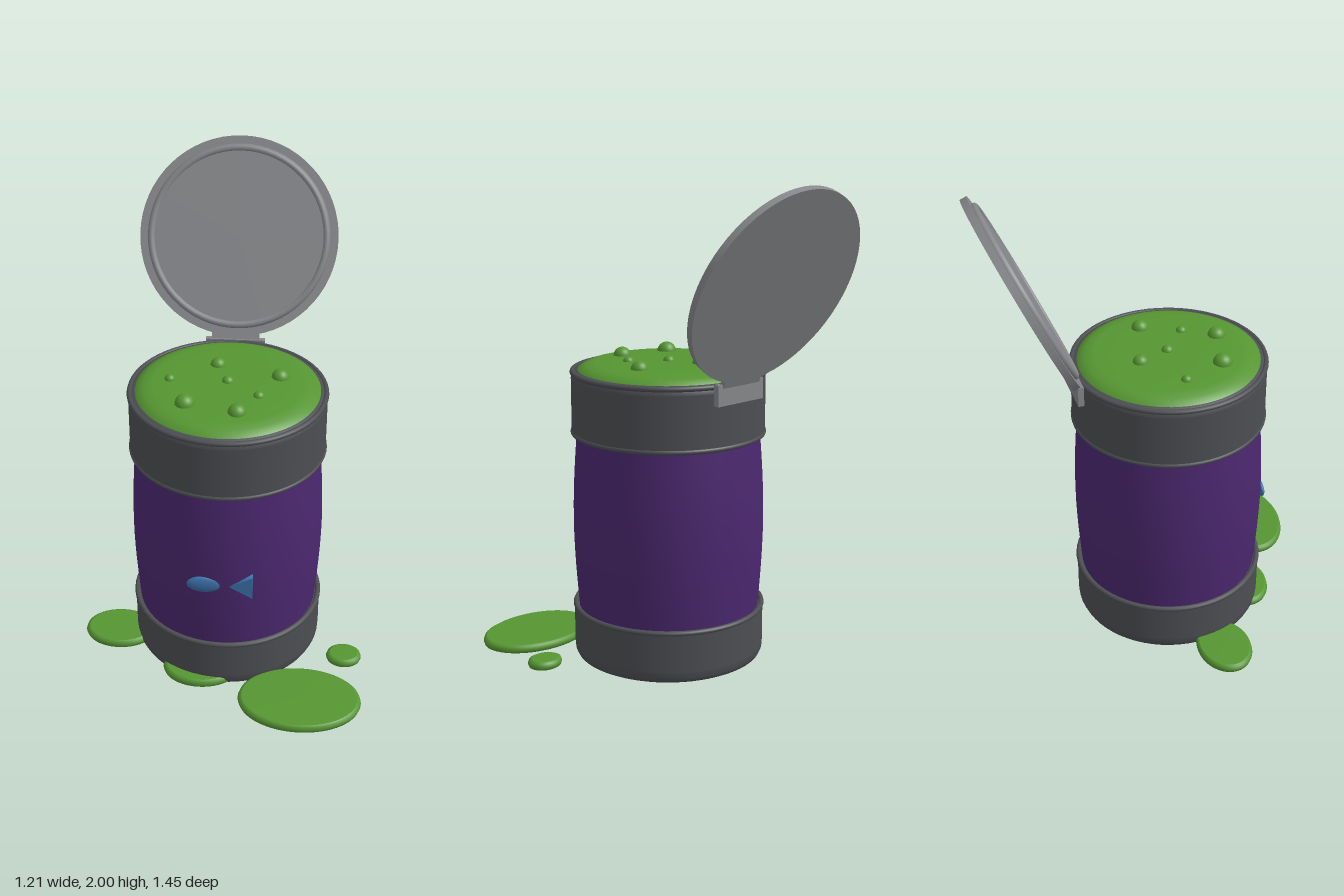
import * as THREE from 'three';

const paint = (color) => new THREE.MeshStandardMaterial({ color });
const iron = paint(0x4c4e52), steel = paint(0x85878a), purple = paint(0x4b286f);
const green = paint(0x569632), blue = paint(0x3b70a8);
const SEG = 64;

function add(parent, name, geometry, material, x = 0, y = 0, z = 0) {
  const mesh = new THREE.Mesh(geometry, material);
  mesh.name = name;
  mesh.position.set(x, y, z);
  parent.add(mesh);
  return mesh;
}

// Lathe built from separate smooth runs, so the joints between runs stay sharp
function turned(parent, name, material, runs) {
  const part = new THREE.Group();
  part.name = name;
  runs.forEach((run, i) => {
    const points = run.map(([r, y]) => new THREE.Vector2(r, y));
    add(part, `${name}Surface${i + 1}`, new THREE.LatheGeometry(points, SEG), material);
  });
  parent.add(part);
  return part;
}

const ring = (radius, tube) => new THREE.TorusGeometry(radius, tube, 10, SEG).rotateX(Math.PI / 2);

export function createModel() {
  const model = new THREE.Group();
  model.name = 'slimeBarrel';

  const barrel = new THREE.Group();
  barrel.name = 'barrel';
  barrel.position.set(0.01, 0, 0.055);
  model.add(barrel);

  // Bulging body
  const bulge = [];
  for (let i = 0; i <= 12; i++) {
    const t = i / 12;
    bulge.push([0.378 + 0.02 * Math.sin(Math.PI * t), 0.2 + 0.78 * t]);
  }
  turned(barrel, 'body', purple, [bulge]);

  // Base and collar with softened outer edges
  turned(barrel, 'base', iron, [
    [[0, 0], [0.375, 0]],
    [[0.375, 0], [0.39, 0.008], [0.398, 0.025], [0.4, 0.05]],
    [[0.4, 0.05], [0.4, 0.215]],
    [[0.4, 0.215], [0.37, 0.215]],
  ]);
  turned(barrel, 'collar', iron, [
    [[0.37, 0.965], [0.4, 0.965]],
    [[0.4, 0.965], [0.4, 1.19]],
    [[0.4, 1.19], [0.397, 1.21], [0.385, 1.222], [0.365, 1.225]],
    [[0.365, 1.225], [0.365, 1.15]],
  ]);
  for (const [name, y] of [['baseHoop', 0.217], ['collarHoop', 0.965], ['rimHoop', 1.215]]) {
    add(barrel, name, ring(0.394, 0.011), iron, 0, y, 0);
  }

  // Slime filling with bubbles: x, z, radius
  turned(barrel, 'slime', green, [
    [[0.375, 1.21], [0.372, 1.226], [0.34, 1.243], [0.3, 1.252], [0.2, 1.255], [0, 1.256]],
  ]);
  const bubbles = [
    [-0.04, -0.08, 0.032], [0.217, 0, 0.036], [-0.223, 0.05, 0.022], [0.01, 0.05, 0.025],
    [0.14, 0.154, 0.023], [-0.145, 0.23, 0.04], [0.063, 0.28, 0.037],
  ];
  bubbles.forEach(([x, z, r], i) => {
    add(model, `bubble${i + 1}`, new THREE.SphereGeometry(r, 24, 16), green, x, 1.252, z);
  });

  // Open lid, leaning back; its local +y is the inner face
  const lid = new THREE.Group();
  lid.name = 'lid';
  lid.position.set(0.01, 1.607, -0.549);
  lid.rotation.x = THREE.MathUtils.degToRad(65);
  model.add(lid);
  add(lid, 'lidPlate', new THREE.CylinderGeometry(0.417, 0.417, 0.028, SEG), steel, 0, 0.014, 0);
  add(lid, 'lidStep', new THREE.CylinderGeometry(0.37, 0.37, 0.014, SEG), steel, 0, 0.033, 0);
  add(lid, 'lidSeal', ring(0.368, 0.016), steel, 0, 0.032, 0);

  // Hinge
  add(model, 'hingePlate', new THREE.BoxGeometry(0.25, 0.085, 0.024), steel, 0.01, 1.186, -0.349);
  const leaf = add(model, 'hingeLeaf', new THREE.BoxGeometry(0.2, 0.075, 0.022), steel, 0.01, 1.243, -0.363);
  leaf.rotation.x = THREE.MathUtils.degToRad(-25);

  // Fish emblem: flat oval and three-sided tail
  const fish = new THREE.Group();
  fish.name = 'fishEmblem';
  model.add(fish);
  const oval = add(fish, 'fishBody', new THREE.SphereGeometry(1, 32, 20), blue, -0.055, 0.533, 0.445);
  oval.scale.set(0.072, 0.038, 0.016);
  const tail = new THREE.CylinderGeometry(0.062, 0.062, 0.03, 3).rotateX(Math.PI / 2).rotateZ(-Math.PI / 2);
  add(fish, 'fishTail', tail, blue, 0.11, 0.533, 0.443);

  // Spilled puddles: x, z, half width, half depth
  const puddles = [
    [-0.455, 0.154, 0.152, 0.115], [-0.08, 0.37, 0.16, 0.118],
    [0.346, 0.542, 0.256, 0.178], [0.527, 0.256, 0.075, 0.063],
  ];
  puddles.forEach(([x, z, rx, rz], i) => {
    const edge = 0.016 / rx;
    const puddle = turned(model, `puddle${i + 1}`, green, [
      [[0, 0.004], [1 - edge, 0.004]],
      [[1 - edge, 0.004], [1 - edge * 0.3, 0.009], [1, 0.022], [1 - edge * 0.3, 0.036], [1 - edge, 0.041]],
      [[1 - edge, 0.041], [0, 0.042]],
    ]);
    puddle.position.set(x, 0, z);
    puddle.scale.set(rx, 1, rz);
  });

  return model;
}
